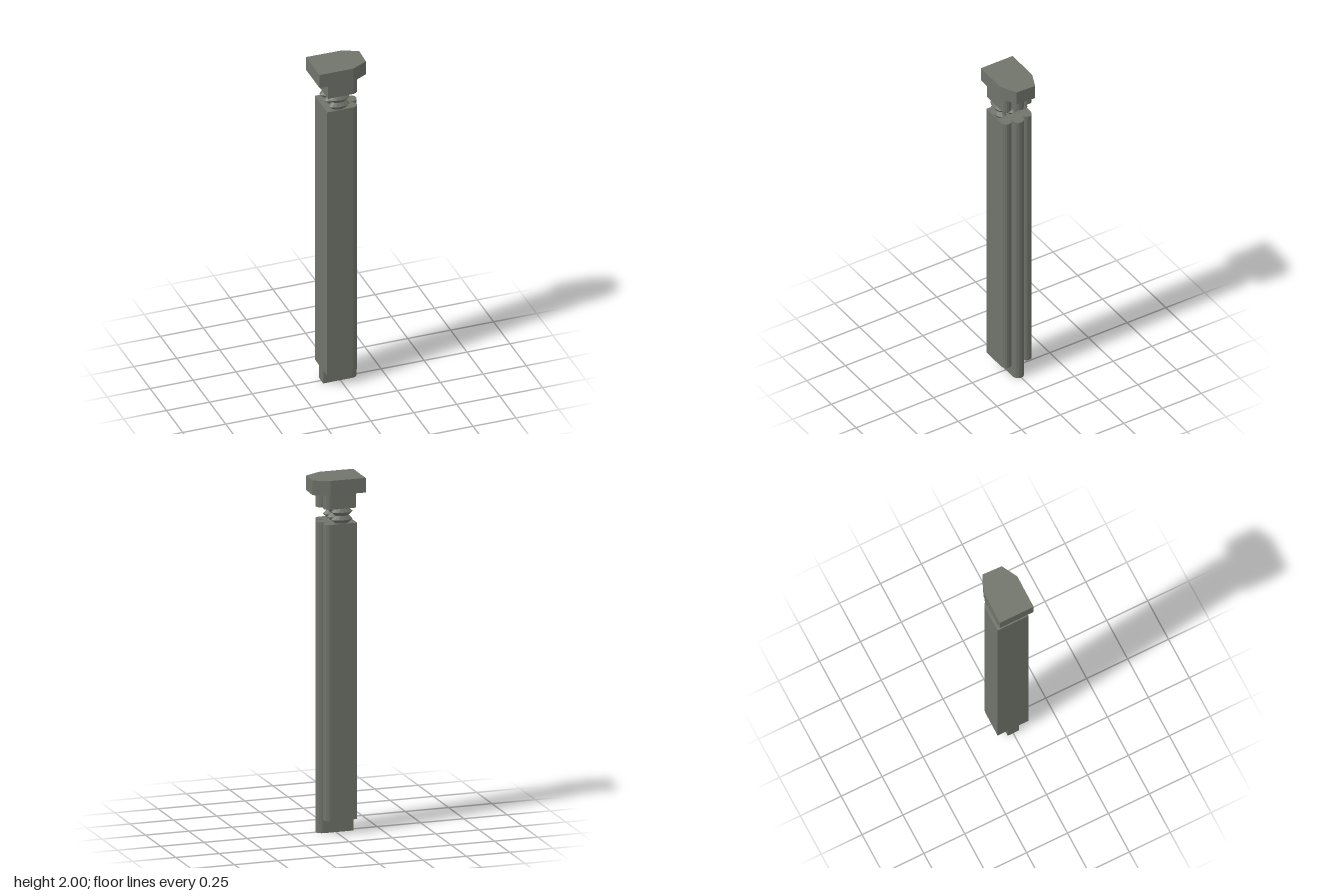
import * as THREE from 'three';

export function createModel() {
  const group = new THREE.Group();
  group.name = 'pinStack';
  const grey = new THREE.MeshStandardMaterial({ color: 0x70746b });
  grey.name = 'dark grey';

  const add = (name, geometry) => {
    const mesh = new THREE.Mesh(geometry.index ? geometry.toNonIndexed() : geometry, grey);
    mesh.geometry.computeVertexNormals();
    mesh.name = name;
    group.add(mesh);
    return mesh;
  };

  // Vertical prism from an [x, z] outline
  const prism = (name, outline, y0, y1) => {
    const shape = new THREE.Shape(outline.map(([x, z]) => new THREE.Vector2(x, -z)));
    const geo = new THREE.ExtrudeGeometry(shape, { depth: y1 - y0, bevelEnabled: false });
    geo.rotateX(-Math.PI / 2).translate(0, y0, 0);
    return add(name, geo);
  };

  // Bar outline: square at -x, rounded at +x
  const barOutline = (x0, x1, z, halfZ, nose) => {
    const pts = [[x0, z - halfZ], [x0, z + halfZ]];
    const n = 8;
    for (let i = 0; i <= n; i++) {
      const a = Math.PI / 2 - (Math.PI * i) / n;
      pts.push([x1 - nose + nose * Math.cos(a), z + halfZ * Math.sin(a)]);
    }
    return pts;
  };

  // Two-fold bellows profile, radius relative to the widest ring
  const profile = [[0, 0], [0.62, 0], [1, 0.25], [0.62, 0.5], [1, 0.75], [0.62, 1], [0, 1]]
    .map(([r, y]) => new THREE.Vector2(r, y));

  const bars = [
    { name: 'front', z: 0.065, half: 0.03, x1: 0.083, y0: 0.08 },
    { name: 'middle', z: 0, half: 0.034, x1: 0.105, y0: 0 },
    { name: 'back', z: -0.065, half: 0.03, x1: 0.083, y0: 0.08 },
  ];
  for (const { name, z, half, x1, y0 } of bars) {
    const outline = barOutline(-0.1, x1, z, half, 0.034);
    prism(name + 'Bar', outline, y0, 1.75);
    prism(name + 'Neck', barOutline(-0.095, x1, z, half, 0.034), 1.835, 1.92);
    const bellows = new THREE.LatheGeometry(profile, 14);
    bellows.scale(0.062, 0.085, 0.034).translate(-0.022, 1.75, z * 1.04);
    add(name + 'Bellows', bellows);
  }

  // Head with two chamfered corners
  prism('head', [
    [-0.147, -0.105], [-0.147, 0.101], [0.05, 0.102],
    [0.141, 0.053], [0.146, -0.063], [0.055, -0.102],
  ], 1.918, 2);

  return group;
}
